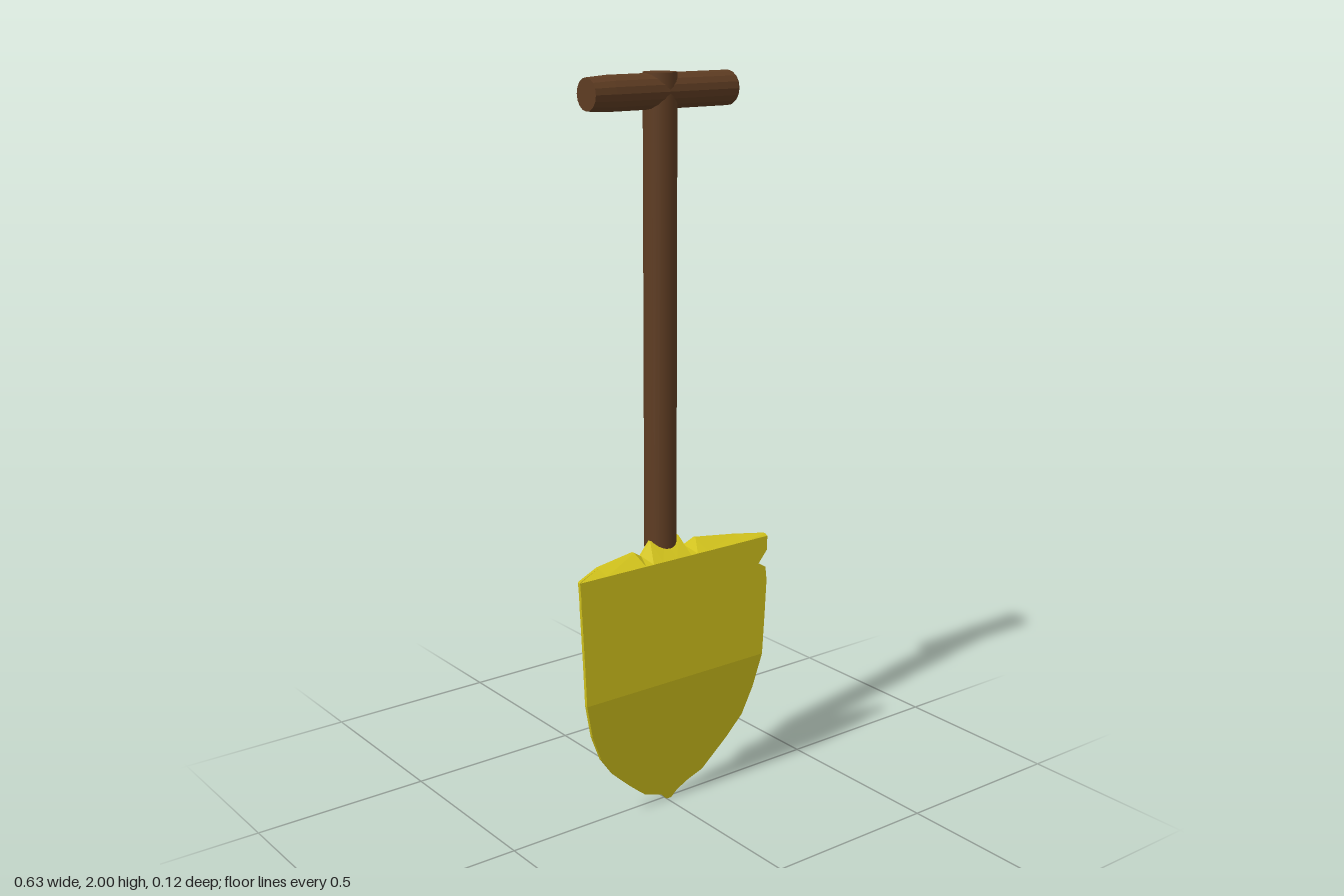
import * as THREE from 'three';

const wood = new THREE.MeshStandardMaterial({ color: 0x5e3c22 });
const metal = new THREE.MeshStandardMaterial({ color: 0xd0c11c, flatShading: true, side: THREE.DoubleSide });
const AXIS_Z = -0.015;

// blade outline from the tip up: [y, left x, right x]
const ROWS = [
  [0, 0, 0.015], [0.02, -0.02, 0.035], [0.04, -0.08, 0.07], [0.06, -0.105, 0.12],
  [0.085, -0.135, 0.145], [0.14, -0.195, 0.2], [0.2, -0.24, 0.25], [0.28, -0.275, 0.28],
  [0.38, -0.3, 0.303], [0.5, -0.305, 0.31], [0.6, -0.31, 0.315], [0.64, -0.312, 0.31],
  [0.655, -0.313, 0.285], [0.69, -0.314, 0.315], [0.73, -0.317, 0.315],
];
// folded-back top edge: [fraction of half width, y, z]
const TOP = [
  [-1, 0.732, 0.058], [-0.73, 0.741, 0.018], [-0.33, 0.753, 0.004], [-0.25, 0.737, 0.002],
  [-0.15, 0.772, 0], [0, 0.77, 0], [0.15, 0.772, 0], [0.22, 0.737, 0.002],
  [0.33, 0.753, 0.004], [0.73, 0.742, 0.025], [1, 0.735, 0.052],
];

function bladeGeometry() {
  const cols = TOP.length, rows = ROWS.length + 1;
  const front = [], back = [], index = [];
  for (const [y, left, right] of ROWS) {
    for (const [t] of TOP) {
      const x = (left + right) / 2 + t * (right - left) / 2;
      const zf = Math.min(0.06, 0.012 + 0.126 * y);
      const dip = Math.max(0, (y - 0.6) / 0.15) * (1 - Math.abs(t));
      const zb = Math.min(0.05, 0.003 + 0.078 * y) - 0.05 * dip;
      front.push(x, y, zf);
      back.push(x, y, THREE.MathUtils.lerp(zb, zf - 0.01, t ** 4));
    }
  }
  for (const [t, y, z] of TOP) {
    front.push(t * 0.315, y, z);
    back.push(t * 0.315, y, z - 0.009);
  }
  const offset = rows * cols;
  const quad = (a, b, c, d) => index.push(a, b, c, a, c, d);
  // front and back faces
  for (let r = 0; r < rows - 1; r++) {
    for (let c = 0; c < cols - 1; c++) {
      const a = r * cols + c, d = a + cols;
      quad(a, a + 1, d + 1, d);
      quad(offset + a, offset + d, offset + d + 1, offset + a + 1);
    }
  }
  // rim, counter-clockwise as seen from the front
  const rim = [];
  for (let c = 0; c < cols; c++) rim.push(c);
  for (let r = 1; r < rows; r++) rim.push(r * cols + cols - 1);
  for (let c = cols - 2; c >= 0; c--) rim.push((rows - 1) * cols + c);
  for (let r = rows - 2; r > 0; r--) rim.push(r * cols);
  rim.forEach((a, i) => {
    const b = rim[(i + 1) % rim.length];
    quad(a, offset + a, offset + b, b);
  });
  const g = new THREE.BufferGeometry();
  g.setAttribute('position', new THREE.Float32BufferAttribute([...front, ...back], 3));
  g.setIndex(index);
  g.computeVertexNormals();
  return g;
}

// end of the shaft, flattened towards its lower edge
function socketGeometry(top, bottom, radius) {
  const g = new THREE.CylinderGeometry(radius, radius, top - bottom, 24, 4);
  g.translate(0, (top + bottom) / 2, 0);
  const p = g.attributes.position;
  for (let i = 0; i < p.count; i++) {
    const k = (top - p.getY(i)) / (top - bottom);
    p.setX(i, p.getX(i) * (1 - 0.14 * k));
    p.setZ(i, p.getZ(i) * (1 - 0.7 * k) + 0.003 * k);
  }
  g.computeVertexNormals();
  return g;
}

export function createModel() {
  const group = new THREE.Group();
  const add = (name, geometry, material, x = 0, y = 0, z = 0) => {
    const mesh = new THREE.Mesh(geometry, material);
    mesh.name = name;
    mesh.position.set(x, y, z);
    group.add(mesh);
    return mesh;
  };

  add('blade', bladeGeometry(), metal);

  // straight shaft and its flattened end behind the blade
  add('shaft', new THREE.CylinderGeometry(0.044, 0.044, 1.25, 24), wood, -0.002, 1.375, AXIS_Z);
  add('shaftEnd', socketGeometry(0.75, 0.56, 0.044), wood, -0.002, 0, AXIS_Z);

  // cross grip, slightly narrowed at both ends
  const profile = [[0, -0.227], [0.041, -0.227], [0.045, -0.165], [0.045, 0.217], [0.042, 0.222], [0, 0.222]];
  const grip = new THREE.LatheGeometry(profile.map(([r, h]) => new THREE.Vector2(r, h)), 16);
  const gripMaterial = wood.clone();
  gripMaterial.flatShading = true;
  add('grip', grip, gripMaterial, 0, 1.953, AXIS_Z).rotation.z = -Math.PI / 2;

  return group;
}
